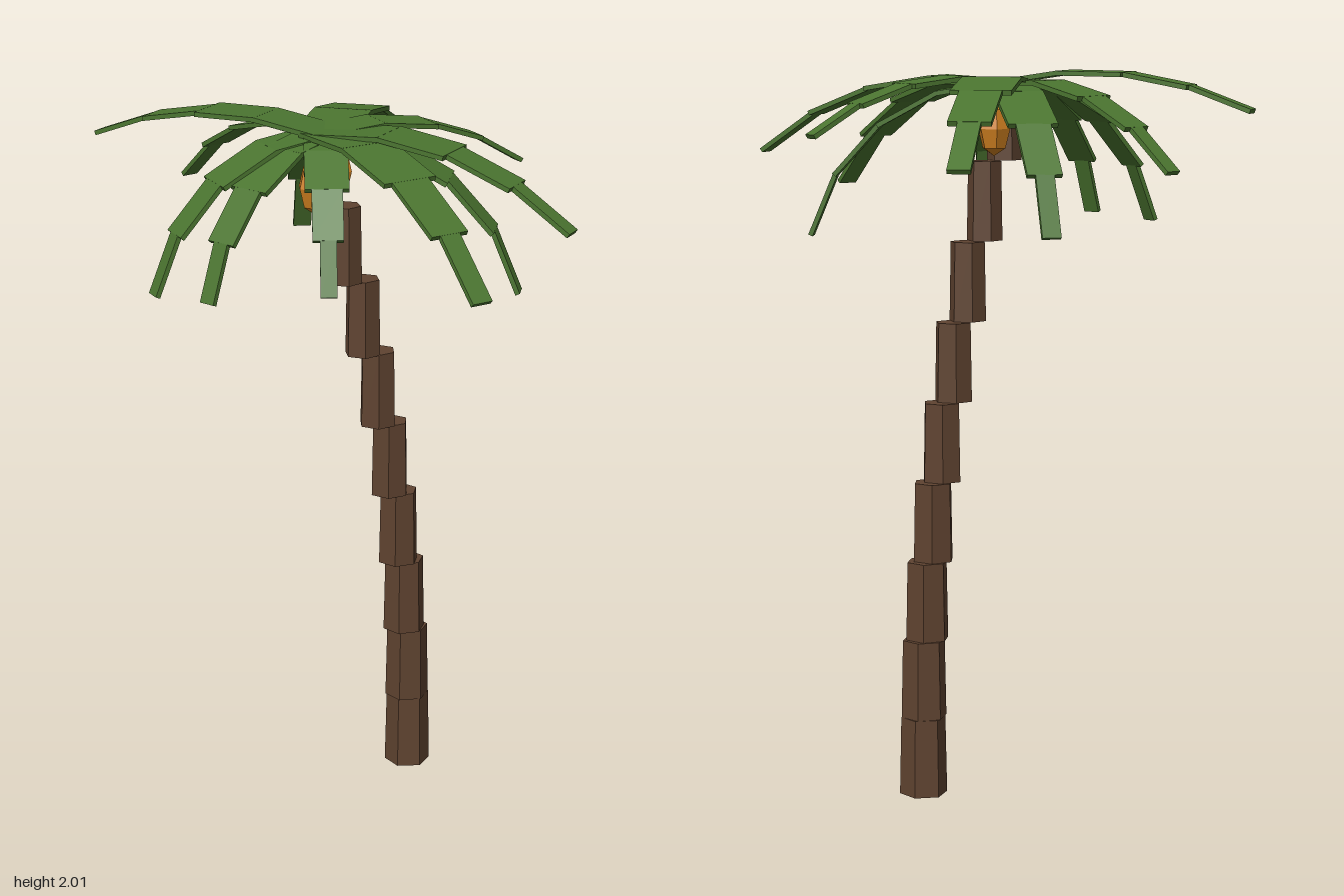
import * as THREE from 'three';

const RAD = Math.PI / 180;
const bark = new THREE.MeshStandardMaterial({ color: 0x5f4330, flatShading: true });
const leaf = new THREE.MeshStandardMaterial({ color: 0x4b7530, flatShading: true });
const husk = new THREE.MeshStandardMaterial({ color: 0xd08020, flatShading: true });
const CROWN = new THREE.Vector3(-0.05, 1.975, -0.045);

function add(parent, name, geometry, material, x, y, z) {
  const mesh = new THREE.Mesh(geometry, material);
  mesh.name = name;
  mesh.position.set(x, y, z);
  parent.add(mesh);
  return mesh;
}

// A drooping frond of four flat slabs running from the crown to the given tip
function makeFrond([x, y, z]) {
  const frond = new THREE.Group();
  frond.name = 'frond';
  const dx = x - CROWN.x, dz = z - CROWN.z;
  const reach = Math.hypot(dx, dz);
  const mean = Math.atan2(CROWN.y - y, reach) / RAD;
  const bend = 10 + (mean - 7) * 0.3; // extra droop per slab, in degrees
  const pitches = [0, 1, 2, 3].map(i => (mean + (i - 1.5) * bend) * RAD);
  const length = reach / pitches.reduce((s, p) => s + Math.cos(p), 0);
  const widths = [0.8, 0.8, 0.56, 0.3];
  let out = 0, up = 0;
  pitches.forEach((p, i) => {
    const c = Math.cos(p) * length, s = Math.sin(p) * length;
    const slab = add(frond, 'frondSegment',
      new THREE.BoxGeometry(widths[i] * length, 0.013, length * 1.02), leaf,
      0, up - s / 2, out + c / 2);
    slab.rotation.x = p;
    out += c;
    up -= s;
  });
  frond.position.copy(CROWN);
  frond.rotation.y = Math.atan2(dx, dz);
  return frond;
}

export function createModel() {
  const model = new THREE.Group();
  model.name = 'palmTree';

  // Trunk: stacked hexagonal segments leaning in a curve
  const trunk = new THREE.Group();
  trunk.name = 'trunk';
  const h = 0.22;
  for (let i = 0; i < 9; i++) {
    const r = 0.067 - 0.0024 * i;
    const seg = add(trunk, 'trunkSegment', new THREE.CylinderGeometry(r * 0.93, r, h, 6), bark,
      0.258 - 0.0049 * i * i, h * (i + 0.5), -0.067 + 0.0028 * i);
    seg.rotation.y = 0.1 * i;
  }
  model.add(trunk);

  // Fronds, listed by the position of each tip
  const tips = [
    [-0.05, 1.665, 0.675], [0.31, 1.775, 0.585], [0.34, 1.55, 0.325],
    [0.545, 1.84, 0.045], [0.53, 1.775, -0.555], [0.175, 1.585, -0.505],
    [-0.12, 1.75, -0.65], [-0.4, 1.905, -0.665], [-0.545, 1.575, -0.125],
    [-0.495, 1.59, 0.07], [-0.275, 1.63, 0.315],
  ];
  const fronds = new THREE.Group();
  fronds.name = 'fronds';
  tips.forEach(t => fronds.add(makeFrond(t)));
  model.add(fronds);

  // Coconuts hanging beside the trunk top
  for (const [x, y, z] of [[0.02, 1.85, -0.09], [-0.138, 1.85, 0.04]]) {
    add(model, 'coconut', new THREE.SphereGeometry(1, 6, 4), husk, x, y, z)
      .scale.set(0.047, 0.075, 0.047);
  }
  return model;
}
